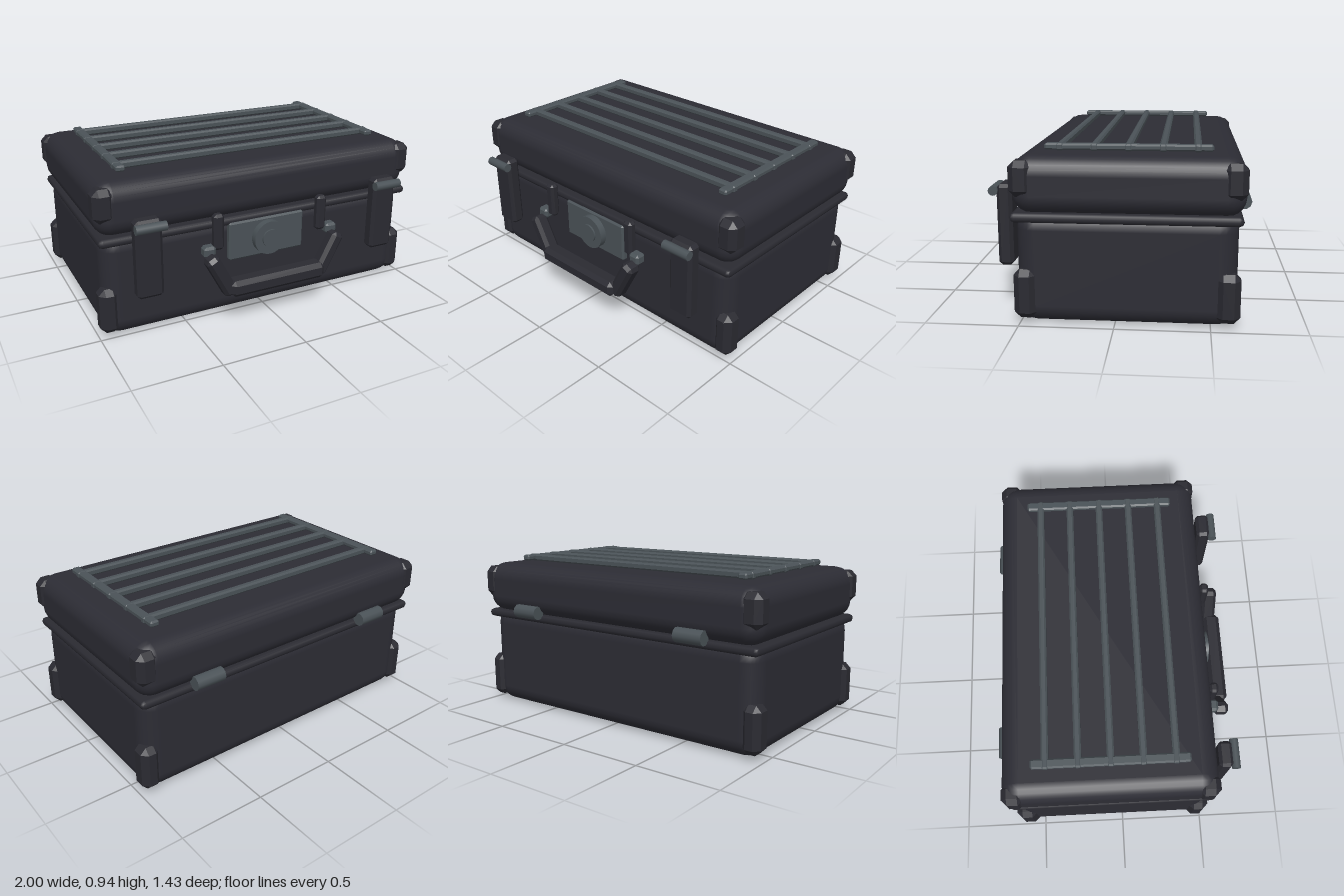
import * as THREE from 'three';
import { RoundedBoxGeometry } from 'three/addons/geometries/RoundedBoxGeometry.js';
import { ConvexGeometry } from 'three/addons/geometries/ConvexGeometry.js';

const mat = (name, color) => {
  const m = new THREE.MeshStandardMaterial({ color });
  m.name = name;
  return m;
};

// Box with a single flat chamfer along every edge
function chamferBox(w, h, d, c) {
  const pts = [];
  for (const x of [-1, 1]) for (const y of [-1, 1]) for (const z of [-1, 1]) {
    const a = w / 2, b = h / 2, e = d / 2;
    pts.push(new THREE.Vector3(x * a, y * (b - c), z * (e - c)));
    pts.push(new THREE.Vector3(x * (a - c), y * b, z * (e - c)));
    pts.push(new THREE.Vector3(x * (a - c), y * (b - c), z * e));
  }
  return new ConvexGeometry(pts);
}

export function createModel() {
  const group = new THREE.Group();
  group.name = 'hardCase';
  const shell = mat('shellCharcoal', 0x2c2c34);
  const trim = mat('trimCharcoal', 0x2a2a31);
  const metal = mat('gunmetal', 0x4a5257);

  const add = (name, geometry, material, x, y, z) => {
    const mesh = new THREE.Mesh(geometry, material);
    mesh.name = name;
    mesh.position.set(x, y, z);
    group.add(mesh);
    return mesh;
  };
  // Boxes given by their limits on each axis
  const size = (r) => r[1] - r[0];
  const mid = (r) => (r[0] + r[1]) / 2;
  const rounded = (name, material, X, Y, Z, r, seg) =>
    add(name, new RoundedBoxGeometry(size(X), size(Y), size(Z), seg, r), material, mid(X), mid(Y), mid(Z));
  const chamfered = (name, material, X, Y, Z, c) =>
    add(name, chamferBox(size(X), size(Y), size(Z), c), material, mid(X), mid(Y), mid(Z));
  const mirror = (s, a, b) => (s > 0 ? [a, b] : [-b, -a]);

  // Shells and the seal between them
  rounded('body', shell, [-0.97, 0.97], [0, 0.61], [-0.635, 0.515], 0.1, 3);
  rounded('lid', shell, [-0.99, 0.99], [0.59, 0.895], [-0.67, 0.53], 0.1, 3);
  rounded('sealBand', trim, [-0.985, 0.985], [0.55, 0.6], [-0.655, 0.535], 0.024, 1);

  for (const s of [-1, 1]) {
    // Corner guards
    for (const [zName, zl, zu] of [
      ['Front', [0.405, 0.525], [0.41, 0.535]],
      ['Back', [-0.65, -0.525], [-0.67, -0.545]],
    ]) {
      chamfered('lower' + zName + 'Guard', trim, mirror(s, 0.885, 0.995), [0.035, 0.3], zl, 0.033);
      chamfered('upper' + zName + 'Guard', trim, mirror(s, 0.88, 1), [0.685, 0.872], zu, 0.033);
    }

    // Latches with their pins
    chamfered('latch', trim, mirror(s, 0.67, 0.82), [0.27, 0.715], [0.557, 0.64], 0.018);
    const pin = add('latchPin', new THREE.CylinderGeometry(0.026, 0.026, 0.17, 12), metal, s * 0.742, 0.682, 0.655);
    pin.rotation.z = Math.PI / 2;

    // Rear hinges
    const hinge = add('hinge', new THREE.CylinderGeometry(0.041, 0.041, 0.175, 10), metal, s * 0.6, 0.617, -0.673);
    hinge.rotation.z = Math.PI / 2;

    // Handle mounts, pivots and arms
    chamfered('handleMount', trim, mirror(s, 0.298, 0.36), [0.45, 0.66], [0.55, 0.605], 0.015);
    chamfered('handlePivot', metal, mirror(s, 0.355, 0.427), [0.42, 0.485], [0.553, 0.62], 0.014);
    const arm = add('handleArm', chamferBox(0.08, 0.27, 0.092, 0.02), trim, s * 0.345, 0.32, 0.642);
    arm.rotation.z = -s * 0.49;
  }
  chamfered('handleGrip', trim, [-0.3, 0.3], [0.192, 0.288], [0.608, 0.715], 0.024);

  // Lock plate and dial
  chamfered('lockPlate', metal, [-0.242, 0.238], [0.34, 0.57], [0.5, 0.545], 0.01);
  const dial = (name, r, z0, z1) => {
    const m = add(name, new THREE.CylinderGeometry(r, r, z1 - z0, 24), metal, 0, 0.455, (z0 + z1) / 2);
    m.rotation.x = Math.PI / 2;
  };
  dial('lockDial', 0.1, 0.53, 0.585);
  dial('lockButton', 0.053, 0.57, 0.595);

  // Lid rack
  for (const s of [-1, 1]) {
    chamfered('rackRail', metal, mirror(s, 0.77, 0.823), [0.904, 0.938], [-0.5, 0.375], 0.009);
  }
  for (let i = 0; i < 5; i++) {
    const z = -0.42 + i * 0.1785;
    chamfered('rackBar', metal, [-0.826, 0.826], [0.9, 0.94], [z - 0.02, z + 0.02], 0.009);
  }
  return group;
}
